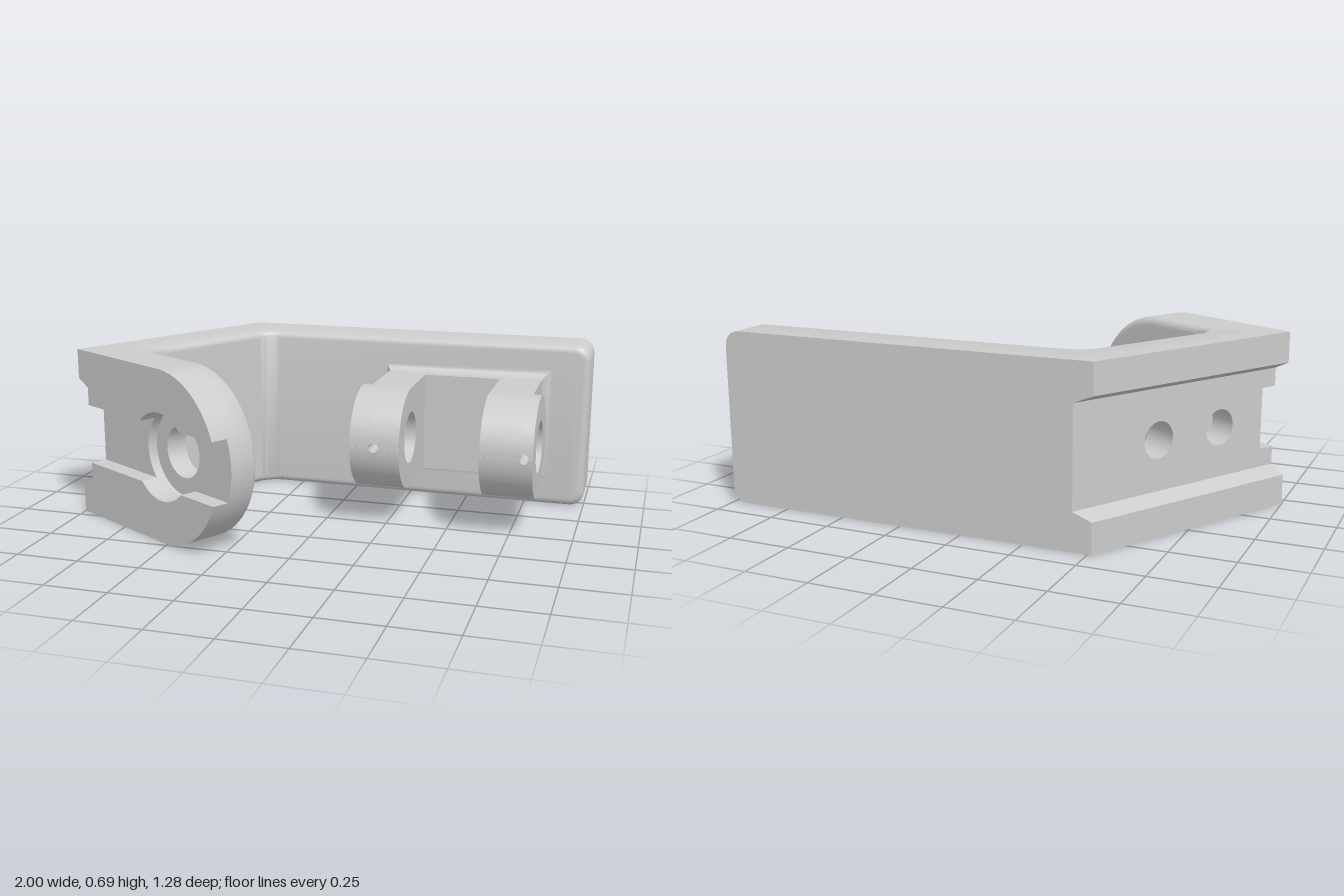
import * as THREE from 'three';
import { toCreasedNormals } from 'three/addons/utils/BufferGeometryUtils.js';

const H = 0.69, M = H / 2;            // bracket height and mid height
const T = 0.2, EDGE = 0.03;           // wall thickness and rim rounding
const LEN = 0.97;                     // length of the slanted wall
const material = new THREE.MeshStandardMaterial({ color: 0xcccccc });

// points on an arc
function arc(cx, cy, r, a0, a1, n = 20) {
  return Array.from({ length: n + 1 }, (_, k) => {
    const t = a0 + (a1 - a0) * k / n;
    return [cx + r * Math.cos(t), cy + r * Math.sin(t)];
  });
}

// solid through outline(inset, z) at each level [z, inset], with round holes [x, y, r]
function loft(name, outline, levels, holes = []) {
  const pos = [];
  const tri = (...v) => v.forEach(p => pos.push(p.x, p.y, p.z));
  const ring = (pts, z) => pts.map(([x, y]) => new THREE.Vector3(x, y, z));
  const band = (A, B) => A.forEach((a, j) => {
    const n = (j + 1) % A.length;
    tri(a, A[n], B[n]);
    tri(a, B[n], B[j]);
  });
  const rings = levels.map(([z, i]) => {
    const r = ring(outline(i, z), z);
    return THREE.ShapeUtils.area(r) < 0 ? r.reverse() : r;
  });
  for (let k = 1; k < rings.length; k++) band(rings[k - 1], rings[k]);
  const ends = [0, levels.length - 1].map(k => {
    const cuts = holes.map(([x, y, r]) =>
      ring(arc(x, y, r, 2 * Math.PI, 0, 40).slice(0, -1), levels[k][0]));
    const all = [rings[k], ...cuts].flat();
    THREE.ShapeUtils.triangulateShape(rings[k].slice(), cuts).forEach(([a, b, c]) =>
      k ? tri(all[a], all[b], all[c]) : tri(all[c], all[b], all[a]));
    return cuts;
  });
  holes.forEach((_, h) => band(ends[0][h], ends[1][h]));
  const geo = new THREE.BufferGeometry();
  geo.setAttribute('position', new THREE.Float32BufferAttribute(pos, 3));
  const mesh = new THREE.Mesh(toCreasedNormals(geo, 0.6), material);
  mesh.name = name;
  return mesh;
}

// levels of a quarter-round edge ending at z1
const rounded = z1 => arc(z1 - EDGE, 0, EDGE, 0, Math.PI / 2, 5)
  .map(([x, y]) => [z1 - EDGE + y, EDGE - (x - z1 + EDGE)]);

function wallGroup(name, x, z, angle) {
  const g = new THREE.Group();
  g.name = name;
  g.position.set(x, 0, z);
  g.rotation.y = angle;
  return g;
}

// long straight wall with rounded free corners
function backWall() {
  const g = wallGroup('backWall', 0, -0.64, 0);
  const outline = i => {
    const r = 0.06 - i * 0.8, e = 1 - i;
    return [[-0.42, i], ...arc(e - r, i + r, r, -Math.PI / 2, 0, 8),
      ...arc(e - r, H - i - r, r, 0, Math.PI / 2, 8), [-0.42, H - i]];
  };
  g.add(loft('backPlate', outline, [[0, 0], ...rounded(T)]));
  return g;
}

// slanted wall: wide channel between two bevelled rails, two bolt holes
function slantedWall() {
  const g = wallGroup('slantedWall', -1, 0.2, Math.PI / 3);
  const end = z => LEN + z / Math.sqrt(3);
  for (const s of [1, -1]) {
    const rail = (i, z) => {
      const lip = M + s * (0.225 - 0.03 * z / 0.063), rim = M + s * M;
      return [[0.12, lip], [end(z), lip], [end(z), rim], [0.12, rim]];
    };
    g.add(loft('channelRail', rail, [[0, 0], [0.063, 0]]));
  }
  const plate = (i, z) => [[0.12, i], [end(z), i], [end(z), H - i], [0.12, H - i]];
  g.add(loft('channelPlate', plate, [[0.063, 0], ...rounded(T)],
    [[LEN - 0.364, M, 0.07], [LEN - 0.673, M, 0.07]]));
  return g;
}

// round-ended arm: slot on the outer face, counterbore and through hole
function roundArm() {
  const g = wallGroup('roundArm', -1, 0.2, Math.PI * 5 / 6);
  const C = 0.55, slot = 0.122, bore = 0.175;
  for (const s of [1, -1]) {
    const a = Math.asin(slot / bore), b = Math.asin(slot / M);
    const half = () => [[0, M], [0, 0.225], [0.063, 0.195], [0.063, slot],
      ...arc(C, 0, bore, Math.PI - a, a), ...arc(C, 0, M, b, Math.PI / 2)]
      .map(([u, h]) => [-u, M + s * h]);
    g.add(loft('slotSide', half, [[0, 0], [0.07, 0]]));
  }
  const full = i => [[0, i - M], [0, -0.225], [0.063, -0.195], [0.063, 0.195], [0, 0.225],
    [0, M - i], ...arc(C, 0, M - i, Math.PI / 2, -Math.PI / 2, 40)]
    .map(([u, h]) => [-u, M + h]);
  g.add(loft('counterboreLayer', full, [[0.07, 0], [0.11, 0]], [[-C, M, bore]]));
  g.add(loft('innerLayer', full, [[0.11, 0], ...rounded(T)], [[-C, M, 0.104]]));
  return g;
}

// concave rounding between two walls; x, z is the inner corner, bis its bisector
function cornerFillet(x, z, bis, open) {
  const R = 0.1, d = R / Math.sin(open / 2), sweep = (Math.PI - open) / 2;
  const cx = Math.cos(bis), cz = Math.sin(bis);
  const outline = i => [
    ...arc(x + cx * d, z + cz * d, R + i, bis + Math.PI - sweep, bis + Math.PI + sweep, 10),
    [x - cx * 0.1, z - cz * 0.1]].map(([px, pz]) => [px, -pz]);
  const top = rounded(H);
  const bottom = top.map(([y, i]) => [H - y, i]).reverse();
  const mesh = loft('cornerFillet', outline, [...bottom, ...top]);
  mesh.rotation.x = -Math.PI / 2;
  return mesh;
}

// hinge lug: bored round end, arm to the wall, raised outer face, radial pin hole
function lug(inner, outer, pin) {
  const Z = -0.09, R = 0.205, bore = 0.105, pinR = 0.019;
  const step = outer + Math.sign(inner - outer) * 0.035;
  const xs = [inner, outer, step - 0.0005, step + 0.0005];
  for (let k = 0; k <= 10; k++) xs.push(pin - pinR * Math.cos(Math.PI * k / 10));
  const outline = (i, z) => {
    const x = -z, arm = Math.abs(x - outer) > 0.035;
    const s = Math.max(0.0004, Math.sqrt(Math.max(0, pinR ** 2 - (x - pin) ** 2)));
    const a = Math.asin(s / R), b = Math.asin(s / bore), P = Math.PI;
    const back = arc(Z, M, R, P / 2 + 0.001, 1.5 * P - 0.001, 32)
      .map(([px, py]) => [arm ? -0.46 : px, py]);
    return [...arc(Z, M, R, a, P / 2, 16), ...back, ...arc(Z, M, R, 1.5 * P, 2 * P - a, 16),
      ...arc(Z, M, bore, 2 * P - b, b, 48)];
  };
  const levels = xs.sort((p, q) => q - p).map(x => [-x, 0]);
  const mesh = loft('hingeLug', outline, levels);
  mesh.rotation.y = -Math.PI / 2;
  return mesh;
}

function hinge() {
  const g = new THREE.Group();
  g.name = 'hinge';
  g.add(lug(0.325, 0.125, 0.222), lug(0.64, 0.845, 0.813));
  // web between the lugs
  const web = new THREE.Mesh(new THREE.BoxGeometry(0.335, 0.41, 0.095), material);
  web.name = 'hingeWeb';
  web.position.set(0.4825, M, -0.4125);
  g.add(web);
  // flared foot against the wall
  const r = 0.035;
  const foot = e => [[0.16 - e, 0.14 - e], [0.81 + e, 0.14 - e],
    [0.81 + e, 0.55 + e], [0.16 - e, 0.55 + e]];
  const flare = arc(0, 0, r, Math.PI, Math.PI / 2, 6)
    .map(([x, y]) => [-0.44 + r + x, r - y]).map(([z, e]) => [z, e]);
  g.add(loft('hingeFoot', foot, flare));
  return g;
}

export function createModel() {
  const model = new THREE.Group();
  model.name = 'hingeBracket';
  model.add(backWall(), slantedWall(), roundArm(), hinge());
  model.add(cornerFillet(-0.4, -0.44, Math.PI / 3, Math.PI * 2 / 3));
  model.add(cornerFillet(-0.727, 0.127, -Math.PI / 12, Math.PI / 2));
  return model;
}
